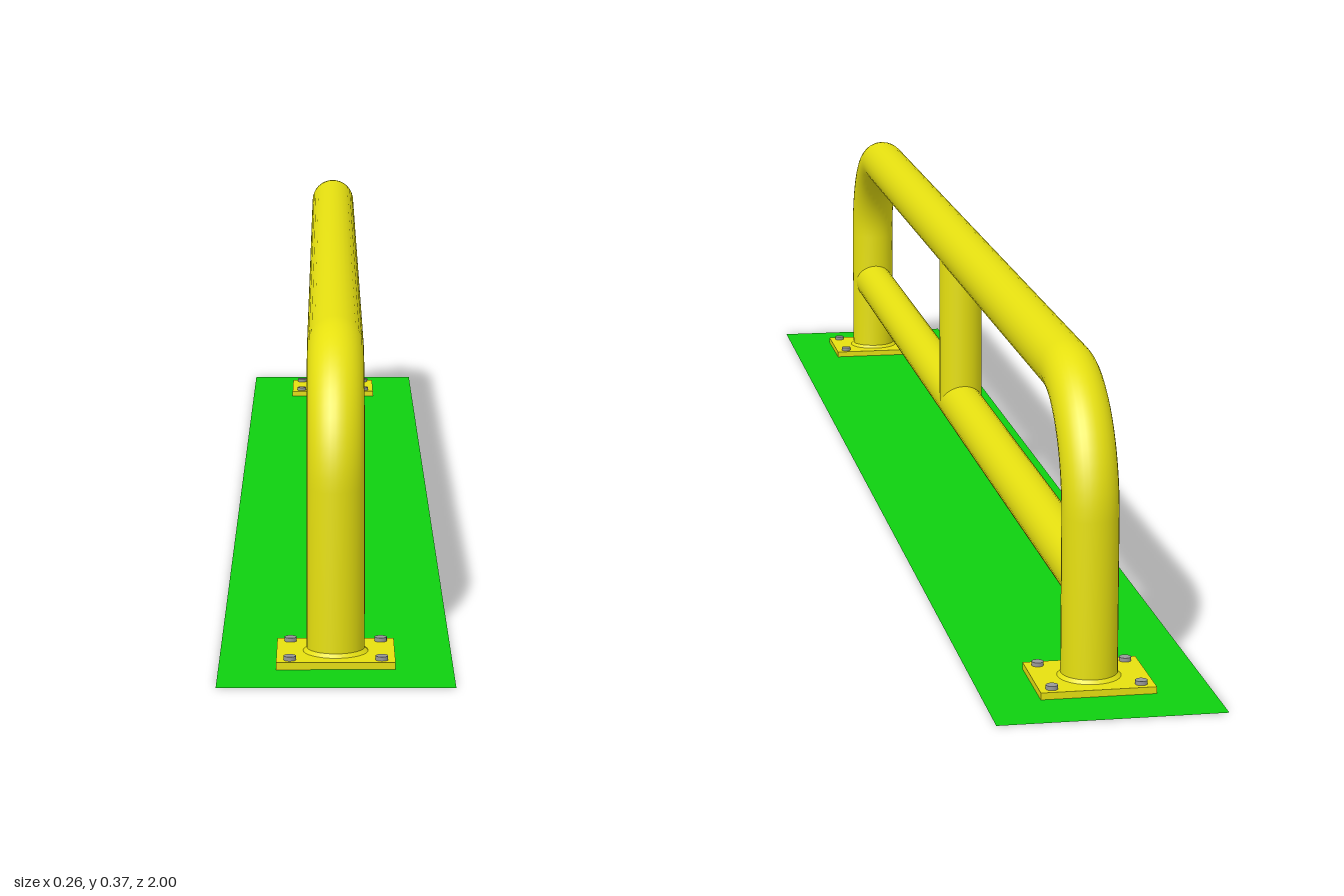
import * as THREE from 'three';

const yellow = new THREE.MeshStandardMaterial({ color: 0xe6e010 });
const green = new THREE.MeshStandardMaterial({ color: 0x0fd010, side: THREE.DoubleSide });
const steel = new THREE.MeshStandardMaterial({ color: 0x999999 });

const LEG_Z = 0.869, TOP_Y = 0.333, TUBE_R = 0.0325;
const BEND = 0.14, RAIL_Y = 0.116, RAIL_R = 0.029;
const PLATE_X = 0.066, PLATE_Z = 0.055, PLATE_H = 0.008;

function add(parent, name, geometry, material, x = 0, y = 0, z = 0) {
  const mesh = new THREE.Mesh(geometry, material);
  mesh.name = name;
  mesh.position.set(x, y, z);
  parent.add(mesh);
  return mesh;
}

// Path of the hoop: leg, bend, top, bend, leg
class HoopCurve extends THREE.Curve {
  constructor() {
    super();
    const v = (y, z) => new THREE.Vector3(0, y, z);
    this.points = [v(PLATE_H / 2, LEG_Z)];
    const steps = 16;
    for (const side of [1, -1]) {
      for (let i = 0; i <= steps; i++) {
        const a = (side > 0 ? i : steps - i) / steps * Math.PI / 2;
        this.points.push(v(TOP_Y - BEND + BEND * Math.sin(a),
          side * (LEG_Z - BEND + BEND * Math.cos(a))));
      }
    }
    this.points.push(v(PLATE_H / 2, -LEG_Z));
  }
  // One parameter step per point keeps rings exactly on the path corners
  getPoint(t, target = new THREE.Vector3()) {
    const f = t * (this.points.length - 1);
    const i = Math.min(Math.floor(f), this.points.length - 2);
    return target.lerpVectors(this.points[i], this.points[i + 1], f - i);
  }
  getPointAt(u, target) { return this.getPoint(u, target); }
  getTangentAt(u, target = new THREE.Vector3()) {
    const n = this.points.length - 1, i = Math.round(u * n);
    const a = this.points[Math.max(i - 1, 0)], b = this.points[Math.min(i + 1, n)];
    const p = this.points[i];
    const d1 = p.clone().sub(a).normalize(), d2 = b.clone().sub(p).normalize();
    return target.copy(d1).add(d2).normalize();
  }
}

// Ground strip, open where the base plates sit flush with it
function groundGeometry() {
  const rect = (S, w, d, z) => new S().moveTo(-w, z - d).lineTo(w, z - d)
    .lineTo(w, z + d).lineTo(-w, z + d).closePath();
  const shape = rect(THREE.Shape, 0.13, 1, 0);
  for (const s of [1, -1]) shape.holes.push(rect(THREE.Path, PLATE_X, PLATE_Z, s * LEG_Z));
  return new THREE.ShapeGeometry(shape).rotateX(-Math.PI / 2);
}

export function createModel() {
  const group = new THREE.Group();
  group.name = 'barrier';

  add(group, 'groundStrip', groundGeometry(), green);

  const path = new HoopCurve();
  add(group, 'hoop', new THREE.TubeGeometry(path, path.points.length - 1, TUBE_R, 32), yellow);

  // Lower rail and the post joining it to the top
  const rail = new THREE.CylinderGeometry(RAIL_R, RAIL_R, 2 * LEG_Z, 32, 1, true).rotateX(Math.PI / 2);
  add(group, 'lowerRail', rail, yellow, 0, RAIL_Y, 0);
  const postH = TOP_Y - RAIL_Y;
  add(group, 'centrePost', new THREE.CylinderGeometry(RAIL_R, RAIL_R, postH, 32, 1, true),
    yellow, 0, RAIL_Y + postH / 2, 0);

  // Feet: plate, weld bead and four bolts
  for (const s of [1, -1]) {
    const foot = new THREE.Group();
    foot.name = s > 0 ? 'frontFoot' : 'backFoot';
    foot.position.z = s * LEG_Z;
    group.add(foot);
    add(foot, 'basePlate', new THREE.BoxGeometry(2 * PLATE_X, PLATE_H, 2 * PLATE_Z),
      yellow, 0, PLATE_H / 2, 0);
    add(foot, 'weld', new THREE.CylinderGeometry(TUBE_R, TUBE_R + 0.004, 0.004, 32, 1, true),
      yellow, 0, PLATE_H + 0.002, 0);
    for (const x of [-0.051, 0.051]) {
      for (const z of [-0.042, 0.042]) {
        add(foot, 'bolt', new THREE.CylinderGeometry(0.007, 0.007, 0.005, 16),
          steel, x, PLATE_H + 0.0022, z);
      }
    }
  }
  return group;
}
